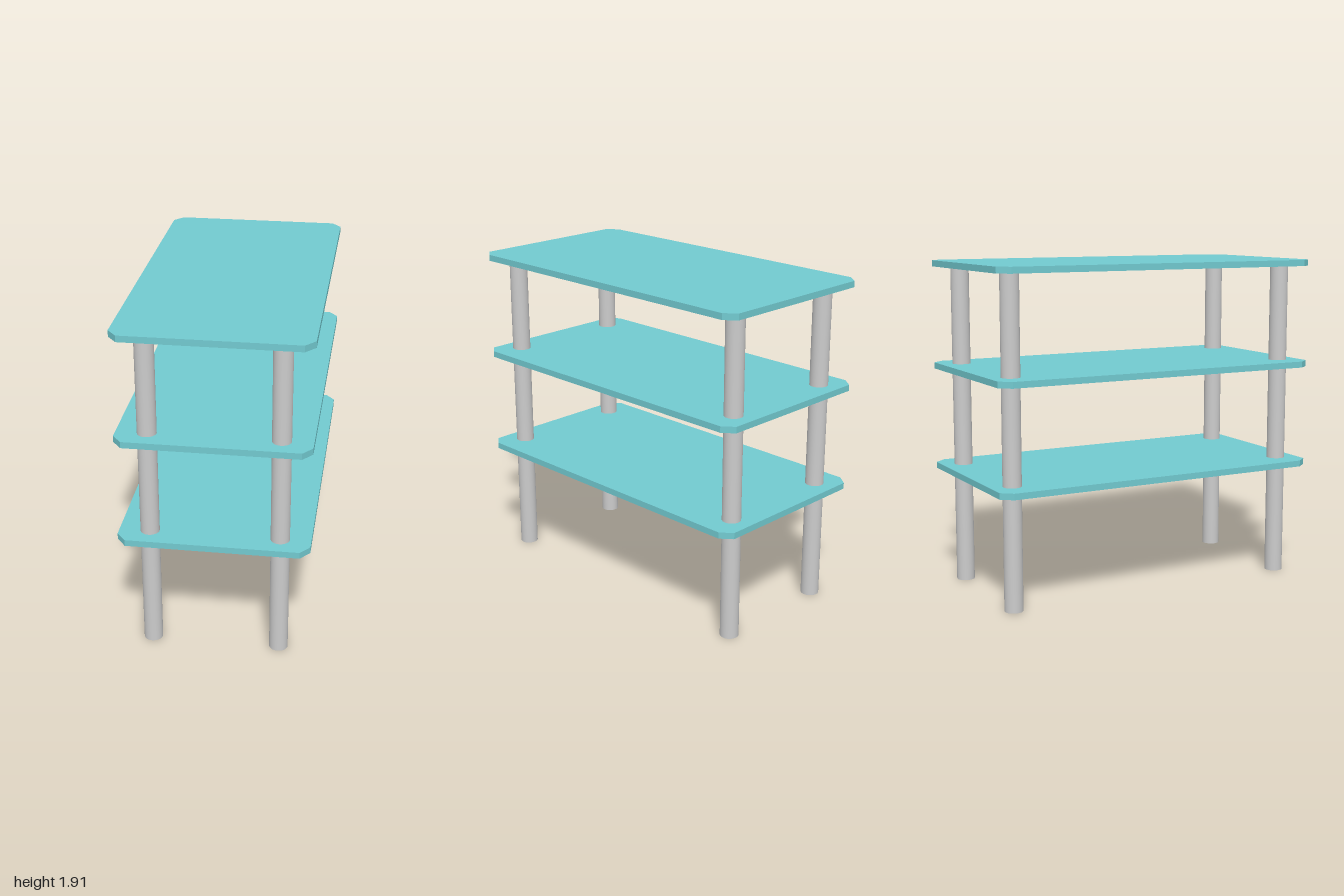
import * as THREE from 'three';

const HALF_W = 0.53, HALF_D = 1;      // shelf half sizes
const CUT_X = 0.053, CUT_Z = 0.065;   // clipped corners
const THICK = 0.036;
const SHELF_BOTTOMS = [0.67, 1.27, 1.87];
const LEG_X = 0.36, LEG_Z = 0.875, LEG_R = 0.053;

// Rectangle with clipped corners, extruded upwards
function shelfGeometry() {
  const a = HALF_W - CUT_X, b = HALF_D - CUT_Z;
  const outline = [
    [a, -HALF_D], [HALF_W, -b], [HALF_W, b], [a, HALF_D],
    [-a, HALF_D], [-HALF_W, b], [-HALF_W, -b], [-a, -HALF_D],
  ].map(([x, z]) => new THREE.Vector2(x, z));
  return new THREE.ExtrudeGeometry(new THREE.Shape(outline), { depth: THICK, bevelEnabled: false })
    .rotateX(-Math.PI / 2);
}

export function createModel() {
  const model = new THREE.Group();
  model.name = 'shelfUnit';
  const shelfMaterial = new THREE.MeshStandardMaterial({ color: 0x72cad0 });
  const legMaterial = new THREE.MeshStandardMaterial({ color: 0xcccccc });

  // Three identical shelves
  const shelfGeo = shelfGeometry();
  ['lowerShelf', 'middleShelf', 'topShelf'].forEach((name, i) => {
    const shelf = new THREE.Mesh(shelfGeo, shelfMaterial);
    shelf.name = name;
    shelf.position.y = SHELF_BOTTOMS[i];
    model.add(shelf);
  });

  // Four round legs running from the floor to the underside of the top shelf
  const legHeight = SHELF_BOTTOMS[2];
  const legGeo = new THREE.CylinderGeometry(LEG_R, LEG_R, legHeight, 32);
  for (const [side, sx] of [['Left', 1], ['Right', -1]]) {
    for (const [end, sz] of [['front', 1], ['back', -1]]) {
      const leg = new THREE.Mesh(legGeo, legMaterial);
      leg.name = `${end}${side}Leg`;
      leg.position.set(sx * LEG_X, legHeight / 2, sz * LEG_Z);
      model.add(leg);
    }
  }
  return model;
}
